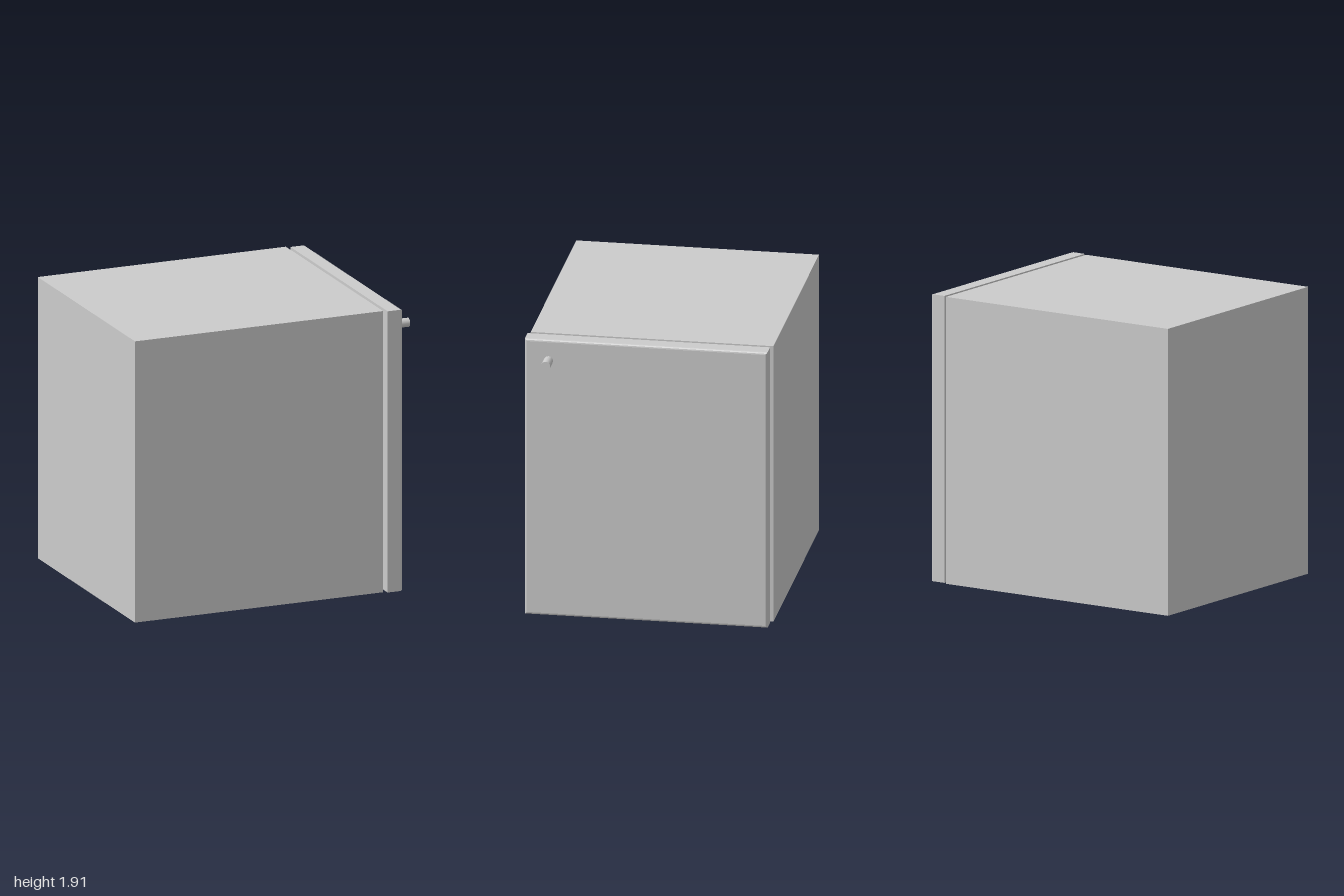
import * as THREE from 'three';

const flat = new THREE.MeshStandardMaterial({ color: 0xcccccc, flatShading: true });
const smooth = new THREE.MeshStandardMaterial({ color: 0xcccccc });

// Adds a mesh spanning the given corner coordinates
function add(group, name, geometry, material, x, y, z) {
  const mesh = new THREE.Mesh(geometry, material);
  mesh.name = name;
  mesh.position.set(x, y, z);
  group.add(mesh);
  return mesh;
}

// Slab whose edges around the +x face are rounded over
function roundedFaceSlab(w, h, d, r, steps) {
  const geo = new THREE.BoxGeometry(w, h, d, steps + 1, 1, 1);
  const pos = geo.attributes.position;
  for (let i = 0; i < pos.count; i++) {
    const ring = Math.round((pos.getX(i) / w + 0.5) * (steps + 1));
    if (ring === 0) continue;
    const a = ((ring - 1) / steps) * Math.PI / 2;
    const inset = r * (1 - Math.cos(a));
    pos.setXYZ(i, w / 2 - r + r * Math.sin(a),
      Math.sign(pos.getY(i)) * (h / 2 - inset),
      Math.sign(pos.getZ(i)) * (d / 2 - inset));
  }
  geo.computeVertexNormals();
  return geo;
}

export function createModel() {
  const model = new THREE.Group();
  model.name = 'cabinet';
  const height = 1.912;

  // Main box, set slightly back from the door
  add(model, 'cabinetBody', new THREE.BoxGeometry(1.76, height, 1.605), flat, -0.12, height / 2, -0.0105);

  // Door on the left side, separated by a narrow gap
  add(model, 'door', roundedFaceSlab(0.107, height, 1.605, 0.016, 3), flat, 0.8385, height / 2, 0.0075);

  // Round handle sticking out of the door
  const knob = add(model, 'doorKnob', new THREE.CylinderGeometry(0.03, 0.03, 0.11, 16), smooth, 0.945, 1.77, 0.652);
  knob.rotation.z = -Math.PI / 2;

  return model;
}
